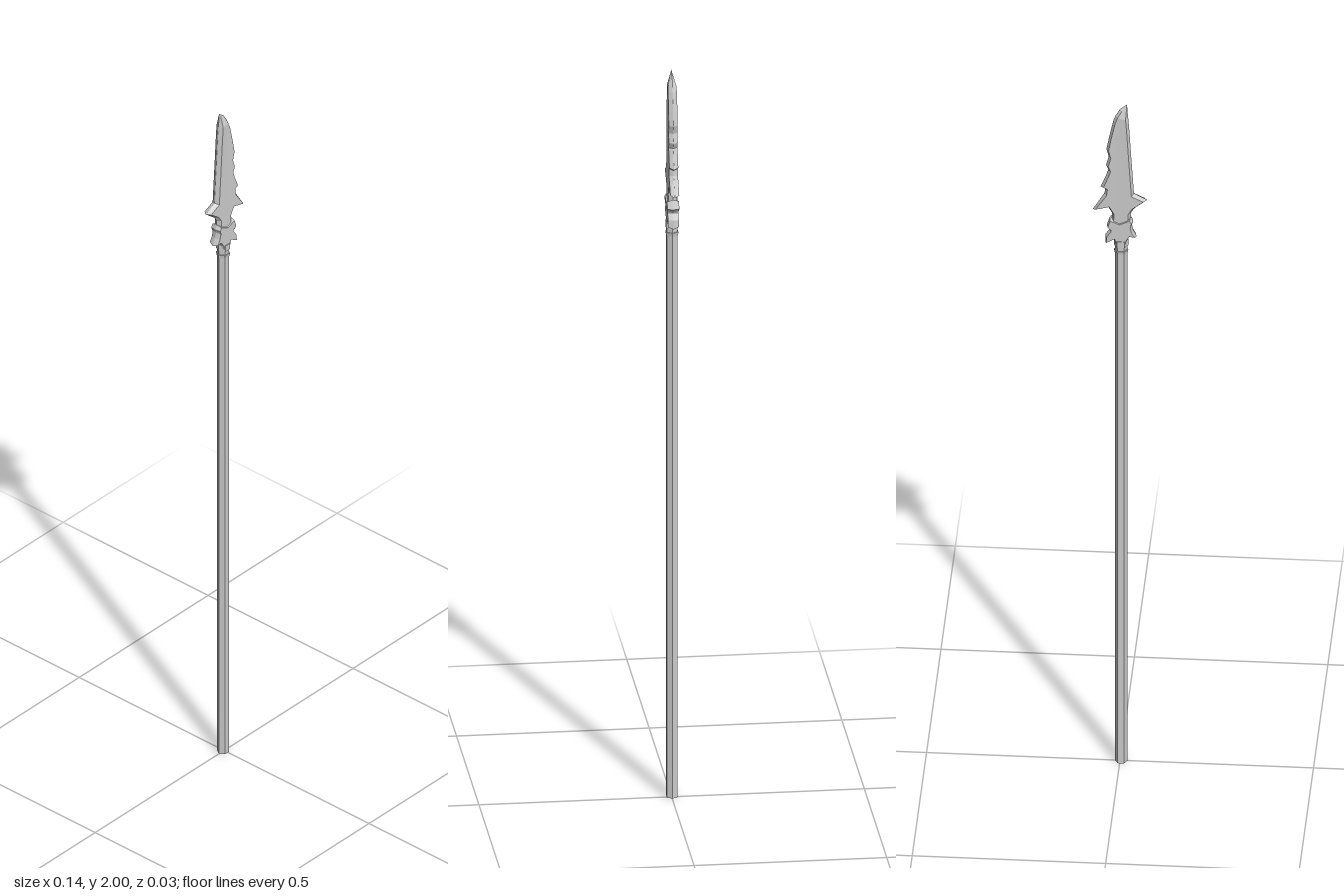
import * as THREE from 'three';

const material = new THREE.MeshStandardMaterial({ color: 0xcccccc, flatShading: true });

// Flat plate cut from an outline, with chamfered edges that meet near mid-thickness
function plate(name, points, halfThickness, bevel) {
  const shape = new THREE.Shape(points.map(([x, y]) => new THREE.Vector2(x, y)));
  const depth = 0.001;
  const geometry = new THREE.ExtrudeGeometry(shape, {
    depth,
    bevelEnabled: true,
    bevelSegments: 1,
    bevelThickness: halfThickness - depth / 2,
    bevelSize: bevel,
    bevelOffset: -bevel,
  });
  geometry.translate(0, 0, -depth / 2);
  const mesh = new THREE.Mesh(geometry, material);
  mesh.name = name;
  return mesh;
}

// Six-sided rod section with its corners pointing along x
function hexRod(name, radiusTop, radiusBottom, y0, y1) {
  const geometry = new THREE.CylinderGeometry(radiusTop, radiusBottom, y1 - y0, 6);
  geometry.rotateY(Math.PI / 6);
  const mesh = new THREE.Mesh(geometry, material);
  mesh.name = name;
  mesh.position.set(-0.003, (y0 + y1) / 2, 0);
  return mesh;
}

export function createModel() {
  const spear = new THREE.Group();
  spear.name = 'spear';

  // Shaft and the stepped collar at its top
  spear.add(hexRod('shaft', 0.016, 0.016, 0, 1.6));
  spear.add(hexRod('lowerCollar', 0.0185, 0.017, 1.55, 1.56));
  spear.add(hexRod('upperCollar', 0.0185, 0.0185, 1.572, 1.59));

  // Blade: smooth back edge, notched cutting edge, a barb on each side
  const outline = [
    [-0.018, 2.0], [-0.021, 1.96], [-0.0235, 1.93], [-0.029, 1.84], [-0.036, 1.73],
    [-0.07, 1.712], [-0.036, 1.684], [-0.028, 1.67], [-0.028, 1.62],
    [0.022, 1.62], [0.021, 1.67], [0.03, 1.686], [0.07, 1.678],
    [0.04, 1.728], [0.038, 1.742], [0.05, 1.748], [0.036, 1.782],
    [0.03, 1.80], [0.036, 1.815], [0.029, 1.84], [0.035, 1.862],
    [0.028, 1.90], [0.017, 1.95], [0.011, 1.966], [0.0, 1.985],
  ];
  const blade = plate('blade', outline, 0.0115, 0.006);

  // Thin the blade to an edge at its tip
  const position = blade.geometry.attributes.position;
  for (let i = 0; i < position.count; i++) {
    const taper = THREE.MathUtils.clamp((2 - position.getY(i)) / 0.04, 0.05, 1);
    position.setZ(i, position.getZ(i) * taper);
  }
  blade.geometry.computeVertexNormals();
  spear.add(blade);

  // Socket band around the blade root, with a hooked lobe on each side
  const band = [
    [-0.027, 1.658], [-0.034, 1.645], [-0.029, 1.63],
    [0.026, 1.622], [0.034, 1.632], [0.026, 1.656], [0.0, 1.645],
  ];
  spear.add(plate('socketBand', band, 0.0155, 0.003));
  const socket = [
    [-0.03, 1.64], [-0.034, 1.62], [-0.043, 1.60], [-0.027, 1.602],
    [-0.02, 1.59], [-0.017, 1.575], [0.011, 1.575], [0.015, 1.592],
    [0.038, 1.58], [0.037, 1.604], [0.026, 1.62], [0.028, 1.64],
  ];
  spear.add(plate('socket', socket, 0.014, 0.004));

  spear.position.z = -0.001;
  const model = new THREE.Group();
  model.name = 'model';
  model.add(spear);
  return model;
}
